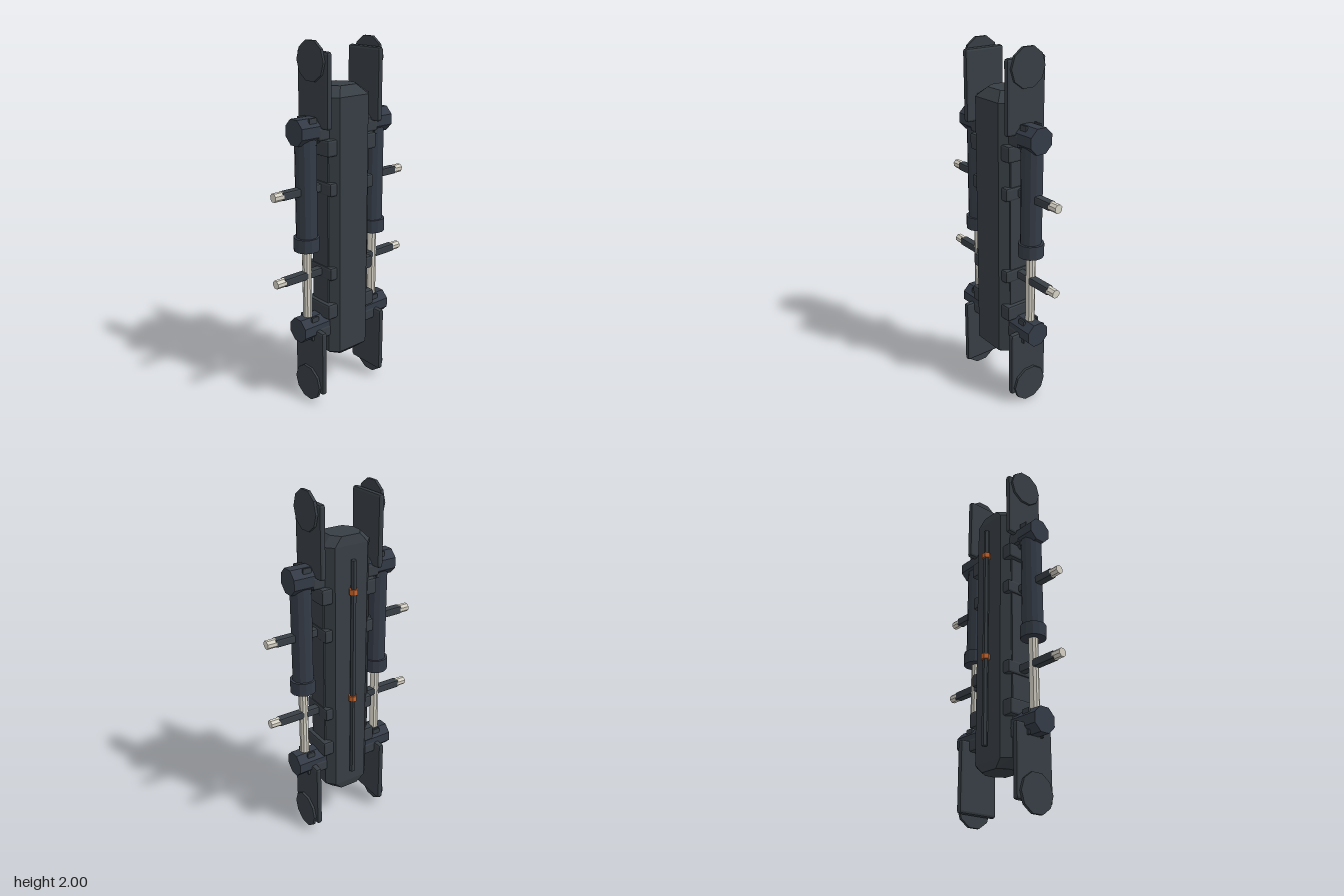
import * as THREE from 'three';
import { RoundedBoxGeometry } from 'three/addons/geometries/RoundedBoxGeometry.js';

const ZC = 0.015; // common centre plane of the hull

export function createModel() {
  const root = new THREE.Group();
  root.name = 'dockingModule';
  const mat = (name, color) => {
    const m = new THREE.MeshStandardMaterial({ color, flatShading: true });
    m.name = name;
    return m;
  };
  const hull = mat('charcoal hull', 0x373e44);
  const steel = mat('blue grey steel', 0x343b46);
  const bare = mat('bare metal', 0xd6d2c6);
  const copper = mat('copper', 0xc8642c);

  const add = (name, geo, m, x, y, z = ZC, parent = root) => {
    const mesh = new THREE.Mesh(geo, m);
    mesh.name = name;
    mesh.position.set(x, y, z);
    parent.add(mesh);
    return mesh;
  };
  // upright prism with a flat or a corner facing forward
  const post = (r, h, n, turn = 0) => new THREE.CylinderGeometry(r, r, h, n).rotateY(turn);
  // prism lying along x
  const axle = (r, l, n, turn = 0) => post(r, l, n, turn).rotateZ(Math.PI / 2);
  const block = (w, h, d, r = 0.012) => new RoundedBoxGeometry(w, h, d, 1, r);

  // Central body: octagonal sections with tapered end caps
  const sections = [
    // y, half width, back z, front z, corner x, corner z
    [0.24, 0.09, -0.085, 0.075, 0.036, 0.05],
    [0.285, 0.14, -0.093, 0.123, 0.042, 0.046],
    [1.72, 0.14, -0.093, 0.123, 0.042, 0.046],
    [1.77, 0.09, -0.085, 0.075, 0.036, 0.05],
  ];
  add('centralBody', loft(sections.map(([y, w, b, f, cx, cz]) => [
    [w, y, b + cz], [w, y, f - cz], [w - cx, y, f], [cx - w, y, f],
    [-w, y, f - cz], [-w, y, b + cz], [cx - w, y, b], [w - cx, y, b],
  ].reverse())), hull, 0, 0, 0);

  for (const s of [1, -1]) {
    const side = new THREE.Group();
    side.name = s > 0 ? 'leftSide' : 'rightSide';
    root.add(side);
    const part = (name, geo, m, x, y, z = ZC) => add(name, geo, m, s * x, y, z, side);

    // Thin side panel
    part('sidePanel', block(0.03, 0.9, 0.13, 0.006), hull, 0.132, 1.0);

    // Hydraulic strut
    part('strutBarrel', post(0.058, 0.56, 12, Math.PI / 12), steel, 0.237, 1.255);
    part('strutCollar', post(0.07, 0.075, 12, Math.PI / 12), steel, 0.24, 0.95);
    part('strutRod', post(0.026, 0.46, 10), bare, 0.24, 0.71);

    // Strut pivots with paired cheek plates
    for (const y of [1.555, 0.452]) {
      part('strutPivot', axle(0.0725, 0.18, 8, Math.PI / 8), steel, 0.22, y);
      for (const dz of [-0.045, 0.045])
        part('pivotCheek', block(0.05, 0.142, 0.014, 0.005), hull, 0.225, y, ZC + dz);
    }

    // Brackets gripping the body corners
    for (const y of [1.465, 0.545]) part('pivotBracket', block(0.08, 0.09, 0.195), hull, 0.13, y);
    for (const y of [1.54, 0.42]) part('pivotMount', block(0.08, 0.07, 0.14), hull, 0.165, y);

    // Side arms with bare tips
    for (const y of [1.243, 0.767]) {
      part('armLug', block(0.055, 0.075, 0.195), hull, 0.127, y);
      part('sideArm', block(0.28, 0.046, 0.046, 0.009), hull, 0.262, y);
      part('armTip', axle(0.0245, 0.075, 8, Math.PI / 8), bare, 0.412, y);
    }

    // Upper and lower paddles with round end pads
    part('upperPaddle', block(0.035, 0.385, 0.24, 0.014), hull, 0.173, 1.758);
    part('upperPad', axle(0.105, 0.016, 10), hull, 0.195, 1.9);
    part('lowerPaddle', block(0.035, 0.39, 0.24, 0.014), hull, 0.217, 0.253);
    part('lowerPad', axle(0.105, 0.016, 10), hull, 0.24, 0.1);
  }

  // Conduit along the back, with copper clamps
  add('backConduit', post(0.016, 1.285, 6, Math.PI / 6), hull, 0, 1.005, -0.113);
  for (const y of [1.478, 0.852]) add('conduitClamp', post(0.025, 0.03, 6, Math.PI / 6), copper, 0, y, -0.113);

  return root;
}

// Joins equal rings, given from bottom to top, and closes both ends
function loft(rings) {
  const n = rings[0].length;
  const pos = rings.flat(2);
  const idx = [];
  for (let k = 0; k < rings.length - 1; k++)
    for (let i = 0; i < n; i++) {
      const j = (i + 1) % n, a = k * n + i, b = k * n + j;
      idx.push(a, b, b + n, a, b + n, a + n);
    }
  const top = (rings.length - 1) * n;
  for (let i = 1; i < n - 1; i++) idx.push(0, i + 1, i, top, top + i, top + i + 1);
  const g = new THREE.BufferGeometry();
  g.setAttribute('position', new THREE.Float32BufferAttribute(pos, 3));
  g.setIndex(idx);
  const flat = g.toNonIndexed();
  flat.computeVertexNormals();
  return flat;
}
